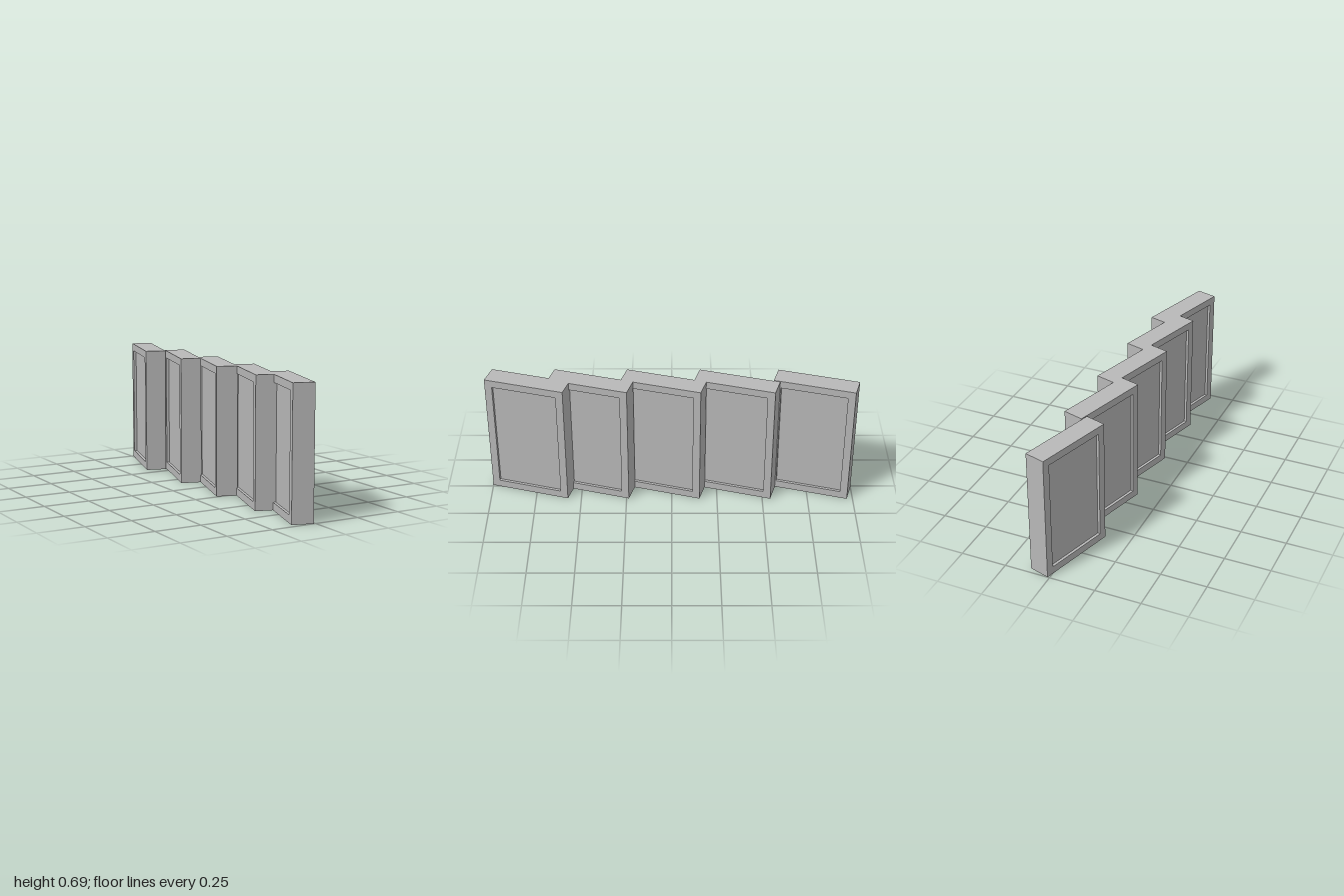
import * as THREE from 'three';

const LENGTH = 0.443, HEIGHT = 0.695, THICK = 0.113;
const MARGIN = 0.041, RECESS = 0.015, ANGLE = 0.286;

function rectangle(target, w, y0, y1) {
  target.moveTo(-w / 2, y0);
  target.lineTo(w / 2, y0);
  target.lineTo(w / 2, y1);
  target.lineTo(-w / 2, y1);
  target.closePath();
  return target;
}

export function createModel() {
  const model = new THREE.Group();
  model.name = 'steppedPanelWall';
  const grey = new THREE.MeshStandardMaterial({ color: 0xb8b8b8 });
  grey.name = 'grey';

  // Border frame: a slab with a rectangular opening, length turned onto z
  const outline = rectangle(new THREE.Shape(), LENGTH, 0, HEIGHT);
  outline.holes.push(rectangle(new THREE.Path(), LENGTH - 2 * MARGIN, MARGIN, HEIGHT - MARGIN));
  const frameGeo = new THREE.ExtrudeGeometry(outline, { depth: THICK, bevelEnabled: false });
  frameGeo.translate(0, 0, -THICK / 2).rotateY(Math.PI / 2);

  // Inner panel, set back from the frame on both faces
  const panelGeo = new THREE.BoxGeometry(THICK - 2 * RECESS, HEIGHT - 2 * MARGIN, LENGTH - 2 * MARGIN);
  panelGeo.translate(0, HEIGHT / 2, 0);

  // Five overlapping slabs, each turned by the same angle
  const centres = [-0.7715, -0.348, 0.044, 0.434, 0.7715];
  centres.forEach((z, i) => {
    const slab = new THREE.Group();
    slab.name = `wallSection${i + 1}`;
    const frame = new THREE.Mesh(frameGeo, grey);
    frame.name = 'frame';
    const panel = new THREE.Mesh(panelGeo, grey);
    panel.name = 'recessedPanel';
    slab.add(frame, panel);
    slab.position.set(0.0025 - i * 0.00125, 0, z);
    slab.rotation.y = -ANGLE;
    model.add(slab);
  });
  return model;
}
